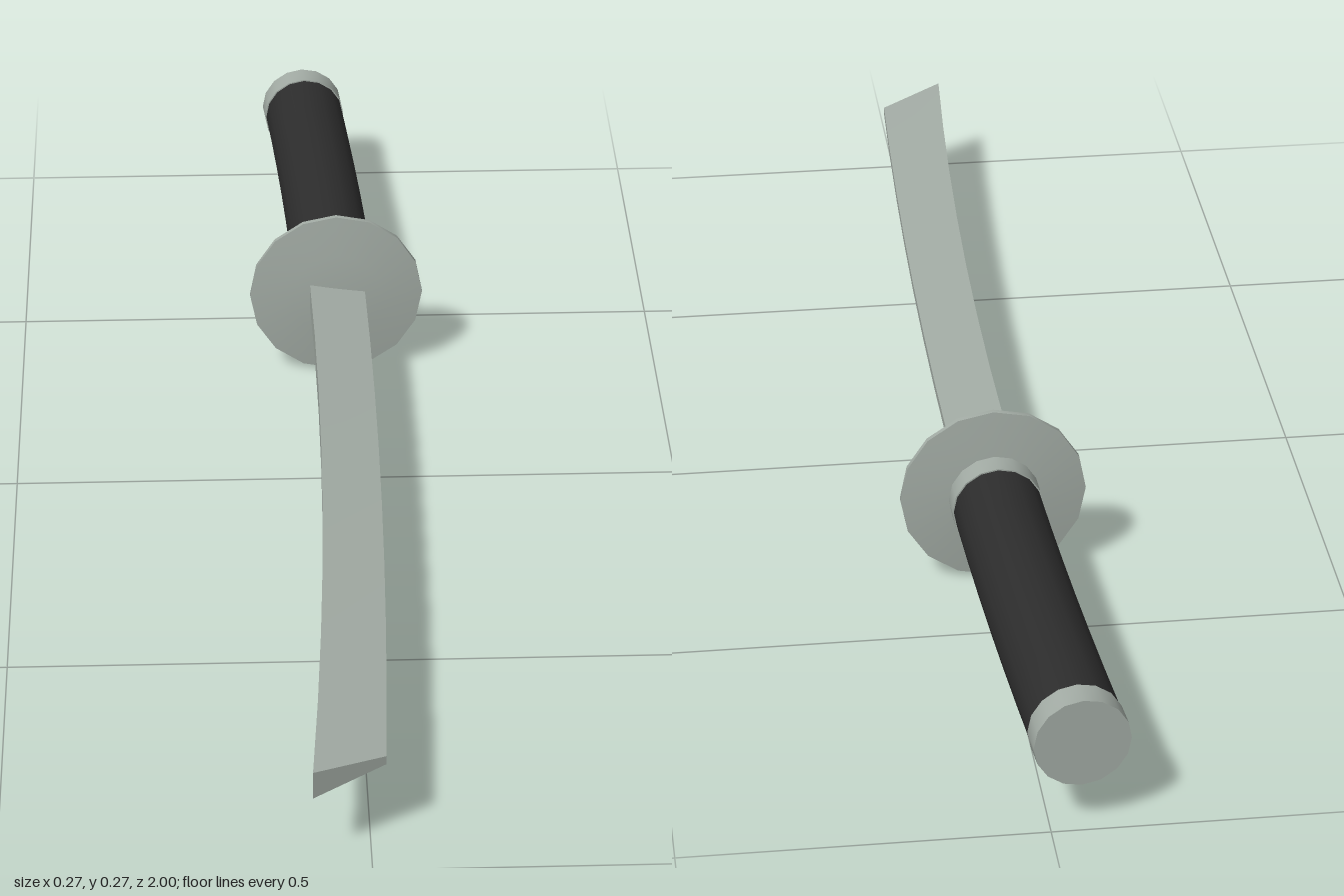
import * as THREE from 'three';
import { toCreasedNormals } from 'three/addons/utils/BufferGeometryUtils.js';

const CENTRE_Y = 0.136;
const SIDES = 16;

// Move every vertex of a geometry by a rule, then rebuild its normals
function reshape(geometry, rule, crease) {
  const pos = geometry.attributes.position;
  const p = new THREE.Vector3();
  for (let i = 0; i < pos.count; i++) {
    rule(p.fromBufferAttribute(pos, i));
    pos.setXYZ(i, p.x, p.y, p.z);
  }
  return toCreasedNormals(geometry, crease);
}

// Bend a shape lying along z onto the shallow arc of the sword
function bend(p) {
  const z = p.z;
  p.z += 0.084 * z * p.x;
  p.x -= 0.042 * z * z;
}

export function createModel() {
  const group = new THREE.Group();
  const steel = new THREE.MeshStandardMaterial({ color: 0xa3aca5 });
  steel.name = 'steel';
  const wrap = new THREE.MeshStandardMaterial({ color: 0x2d2d2d });
  wrap.name = 'dark wrap';

  function add(name, geometry, material) {
    const mesh = new THREE.Mesh(geometry, material);
    mesh.name = name;
    group.add(mesh);
  }

  // Round section of the hilt between two z positions
  function hiltPart(name, radius, z0, z1, material, segments) {
    const geometry = new THREE.CylinderGeometry(radius, radius, z1 - z0, SIDES, segments)
      .rotateX(Math.PI / 2)
      .translate(0, CENTRE_Y, (z0 + z1) / 2);
    add(name, reshape(geometry, bend, 0.6), material);
  }
  hiltPart('pommelCap', 0.066, -0.995, -0.955, steel, 1);
  hiltPart('gripWrap', 0.064, -0.956, -0.384, wrap, 6);
  hiltPart('collar', 0.066, -0.385, -0.34, steel, 1);

  // Lens-shaped guard with a thin rim
  const profile = [[0, -0.014], [0.07, -0.011], [0.135, -0.004], [0.135, 0.004], [0.07, 0.011], [0, 0.014]]
    .map(([x, y]) => new THREE.Vector2(x, y));
  const guard = new THREE.LatheGeometry(profile, SIDES)
    .rotateX(Math.PI / 2)
    .translate(0, CENTRE_Y, -0.338);
  add('guard', reshape(guard, bend, 0.6), steel);

  // Curved wedge blade: thick spine at -x, narrow edge at +x, slanted tip
  const blade = reshape(new THREE.BoxGeometry(1, 1, 1, 1, 1, 8), (p) => {
    const across = p.x + 0.5;
    const z = THREE.MathUtils.lerp(-0.335, THREE.MathUtils.lerp(0.995, 0.94, across), p.z + 0.5);
    const spine = -0.042 - 0.037 * z * z;
    const edge = 0.043 - 0.026 * z * z;
    p.x = THREE.MathUtils.lerp(spine, edge, across);
    p.y = CENTRE_Y + 2 * p.y * THREE.MathUtils.lerp(0.0205, 0.0065, across);
    p.z = z;
  }, 0.3);
  add('blade', blade, steel);

  return group;
}
